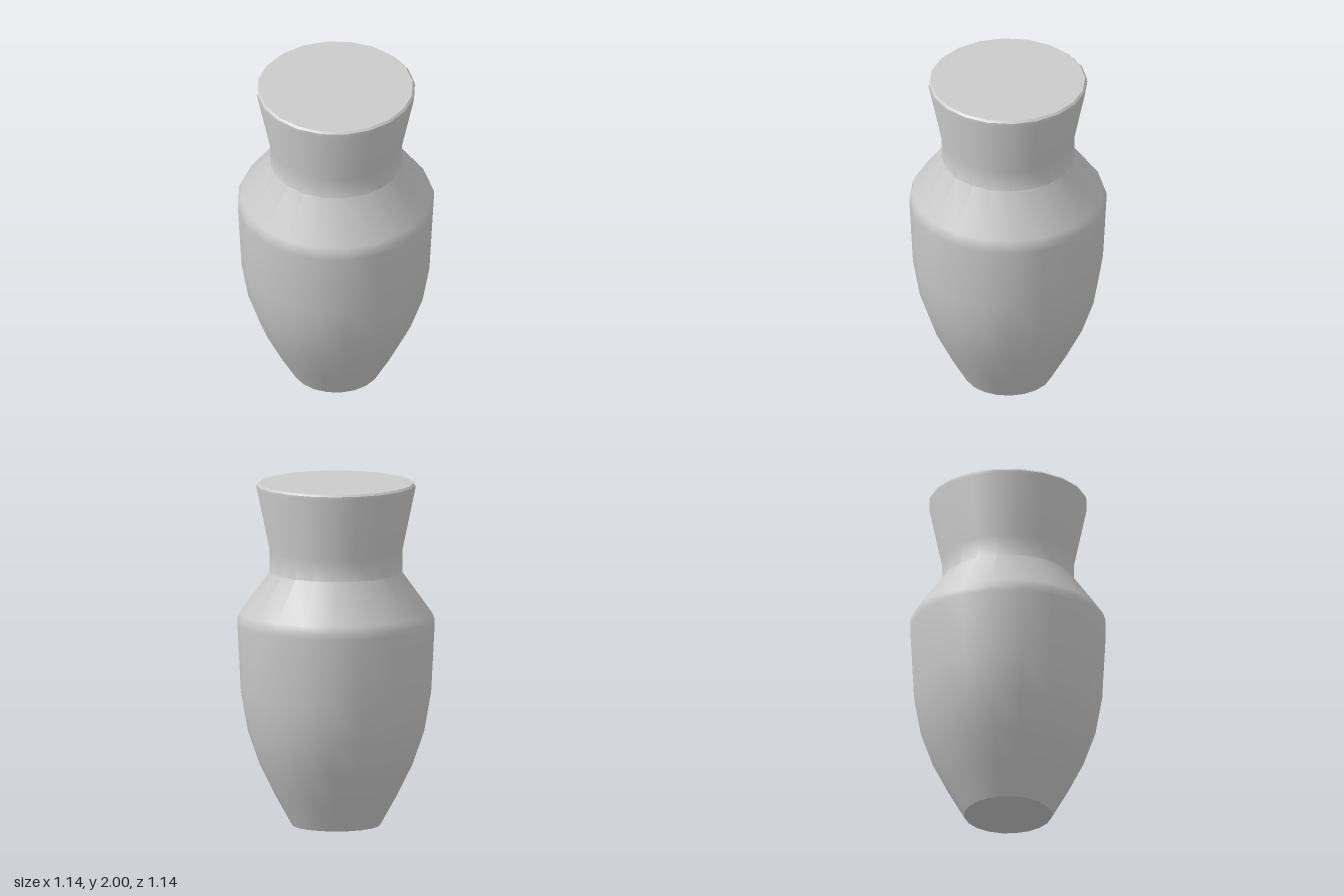
import * as THREE from 'three';
import { toCreasedNormals } from 'three/addons/utils/BufferGeometryUtils.js';

const SIDES = 20;

export function createModel() {
  const vase = new THREE.Group();
  vase.name = 'vase';
  const material = new THREE.MeshStandardMaterial({ color: 0xcccccc });

  const add = (name, geometry) => {
    const mesh = new THREE.Mesh(geometry, material);
    mesh.name = name;
    vase.add(mesh);
    return mesh;
  };

  // Wall: tapering belly, softened shoulder, straight neck and flared, bevelled rim
  const profile = [
    [0.255, 0], [0.345, 0.16], [0.44, 0.35], [0.51, 0.55], [0.55, 0.78],
    [0.57, 1.17], [0.57, 1.205], [0.555, 1.245],
    [0.384, 1.48], [0.384, 1.61],
    [0.459, 1.97], [0.458, 1.988], [0.447, 2],
  ].map(([r, y]) => new THREE.Vector2(r, y));
  add('wall', toCreasedNormals(new THREE.LatheGeometry(profile, SIDES), Math.PI / 5));

  // Flat discs closing the mouth and the foot
  const lid = add('topCap', new THREE.CircleGeometry(0.447, SIDES));
  lid.rotation.x = -Math.PI / 2;
  lid.position.y = 2;
  const foot = add('baseCap', new THREE.CircleGeometry(0.255, SIDES));
  foot.rotation.x = Math.PI / 2;

  return vase;
}
